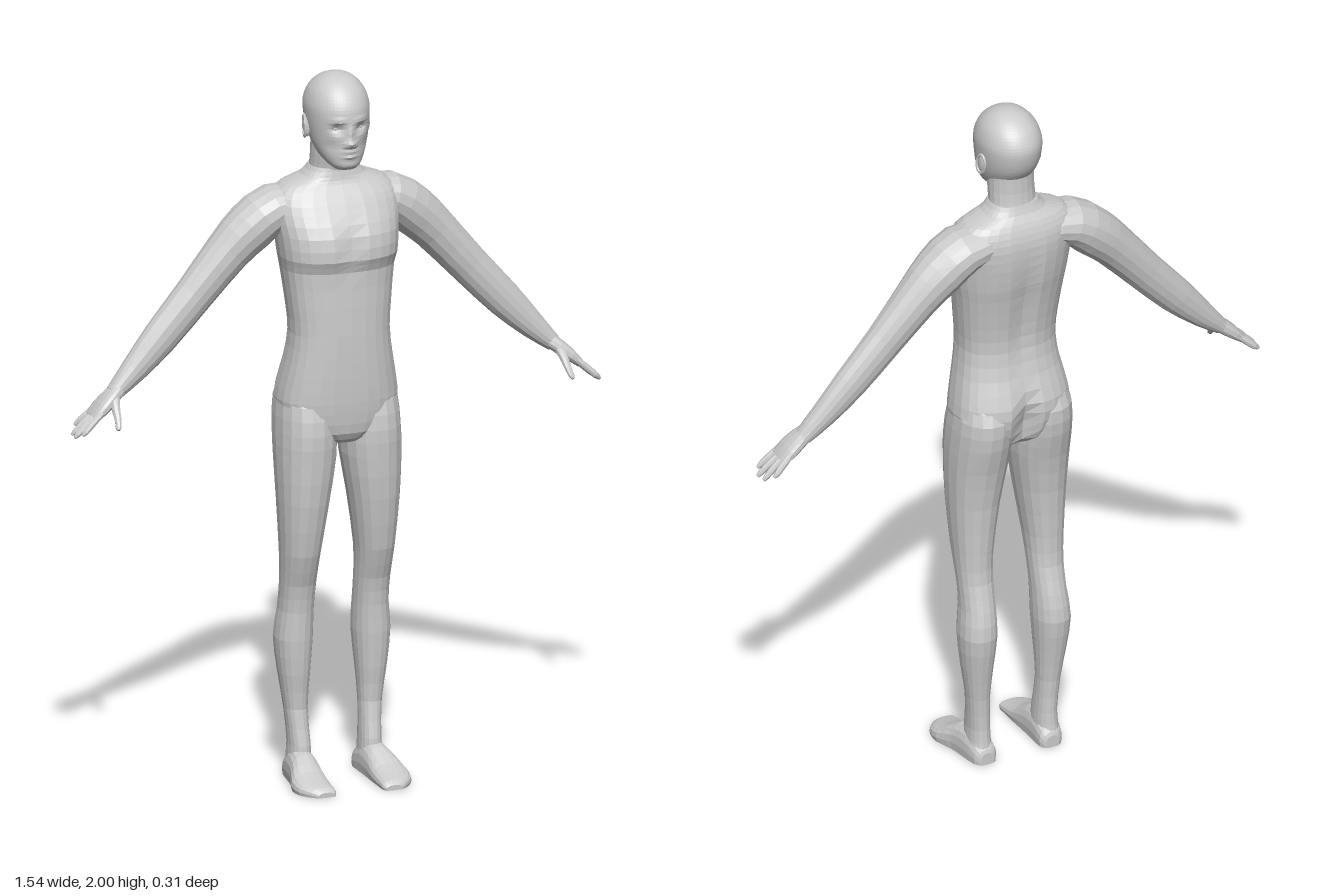
import * as THREE from 'three';

const V = (x, y, z) => new THREE.Vector3(x, y, z);
const material = new THREE.MeshStandardMaterial({ color: 0xcccccc, flatShading: true });

// Insert k Catmull-Rom steps between the rows of a section list
function refine(rows, k) {
  const out = [];
  for (let i = 0; i < rows.length - 1; i++) {
    const a = rows[Math.max(i - 1, 0)], b = rows[i], c = rows[i + 1], d = rows[Math.min(i + 2, rows.length - 1)];
    for (let s = 0; s < k; s++) {
      const t = s / k;
      out.push(b.map((q, j) => q + 0.5 * t * (c[j] - a[j] +
        t * (2 * a[j] - 5 * q + 4 * c[j] - d[j] + t * (3 * (q - c[j]) + d[j] - a[j])))));
    }
  }
  out.push(rows[rows.length - 1]);
  return out;
}

// Superelliptic ring around c, spanned by the half axes u and v
function ring(c, u, v, n, e = 2) {
  const pw = (q) => Math.sign(q) * Math.pow(Math.abs(q), 2 / e);
  return Array.from({ length: n }, (_, i) => {
    const a = (i / n) * Math.PI * 2;
    return c.clone().addScaledVector(u, pw(Math.cos(a))).addScaledVector(v, pw(Math.sin(a)));
  });
}

// Skin over a list of rings, closed at both ends
function skin(rings, rule) {
  const n = rings[0].length, last = rings.length - 1, pts = rings.flat(), idx = [];
  const mid = (r) => r.reduce((s, p) => s.add(p), V(0, 0, 0)).divideScalar(n);
  pts.push(mid(rings[0]), mid(rings[last]));
  for (let j = 0; j < n; j++) {
    const k = (j + 1) % n;
    for (let i = 0; i < last; i++) {
      const a = i * n + j, b = i * n + k;
      idx.push(a, a + n, b, b, a + n, b + n);
    }
    idx.push(pts.length - 2, j, k, pts.length - 1, last * n + k, last * n + j);
  }
  if (rule) pts.forEach(rule);
  const g = new THREE.BufferGeometry().setFromPoints(pts);
  g.setIndex(idx);
  g.computeVertexNormals();
  return g;
}

// Upright form, rows from the bottom: [y, centreX, halfWidth, zFront, zBack]
const upright = (rows, k, n, e, rule) => skin(refine(rows, k).map(([y, x, w, f, b]) =>
  ring(V(x, y, (f + b) / 2), V(w, 0, 0), V(0, 0, (f - b) / 2), n, e)), rule);

// Limb along a path, rows: [x, y, z, thickness radius, z radius]
function limb(rows, k, n, e) {
  const s = refine(rows, k);
  return skin(s.map(([x, y, z, r, rz], i) => {
    const p = s[Math.max(i - 1, 0)], q = s[Math.min(i + 1, s.length - 1)];
    const t = V(q[0] - p[0], q[1] - p[1], q[2] - p[2]).normalize();
    const u = V(t.y, -t.x, 0).normalize();
    const v = u.clone().cross(t);
    return ring(V(x, y, z), u.multiplyScalar(r), v.multiplyScalar(rz), n, e);
  }));
}

// Bump of height h around (cx, y0)
const bump = (x, y, cx, y0, sx, sy, h) => h * Math.exp(-(((x - cx) / sx) ** 2) - ((y - y0) / sy) ** 2);

export function createModel() {
  const model = new THREE.Group();
  model.name = 'humanFigure';
  const add = (name, geometry) => {
    const m = new THREE.Mesh(geometry, material);
    m.name = name;
    model.add(m);
  };
  // Adds a left part and its mirrored right twin
  const pair = (name, geometry) => {
    add('left' + name, geometry);
    const g = geometry.clone().scale(-1, 1, 1), ix = g.index.array;
    for (let i = 0; i < ix.length; i += 3) [ix[i], ix[i + 1]] = [ix[i + 1], ix[i]];
    g.computeVertexNormals();
    add('right' + name, g);
  };

  // Torso with breastbone, spine groove and seat cleft
  add('torso', upright([
    [0.97, 0, 0.05, 0.055, -0.08], [1.0, 0, 0.13, 0.075, -0.125], [1.06, 0, 0.168, 0.084, -0.148],
    [1.12, 0, 0.166, 0.088, -0.15], [1.2, 0, 0.15, 0.09, -0.125], [1.28, 0, 0.14, 0.09, -0.112],
    [1.36, 0, 0.146, 0.088, -0.118], [1.46, 0, 0.158, 0.086, -0.136], [1.495, 0, 0.165, 0.1, -0.144],
    [1.56, 0, 0.172, 0.092, -0.153], [1.62, 0, 0.18, 0.06, -0.155], [1.66, 0, 0.175, 0.035, -0.148],
    [1.69, 0, 0.145, 0.012, -0.135], [1.71, 0, 0.09, 0.005, -0.122], [1.735, 0, 0.068, 0, -0.112],
  ], 2, 28, 2.5, (p) => {
    if (p.z > 0) p.z += bump(p.x, p.y, 0, 1.53, 0.015, 0.06, -0.008);
    else p.z += bump(p.x, p.y, 0, 1.06, 0.022, 0.07, 0.03) + bump(p.x, p.y, 0, 1.4, 0.025, 0.2, 0.01);
  }));

  add('neck', upright([
    [1.66, 0, 0.075, 0.0, -0.12], [1.72, 0, 0.067, 0.0, -0.112], [1.77, 0, 0.065, 0.012, -0.106],
    [1.83, 0, 0.064, 0.02, -0.106],
  ], 2, 20, 2.1));

  // Head with the face raised and sunk by rule
  add('head', upright([
    [1.748, 0, 0.03, 0.066, 0.01], [1.76, 0, 0.045, 0.077, -0.03], [1.78, 0, 0.06, 0.079, -0.07],
    [1.81, 0, 0.073, 0.08, -0.1], [1.845, 0, 0.081, 0.081, -0.125], [1.885, 0, 0.086, 0.082, -0.138],
    [1.92, 0, 0.086, 0.078, -0.139], [1.955, 0, 0.075, 0.06, -0.122], [1.98, 0, 0.055, 0.034, -0.095],
    [1.994, 0, 0.033, 0.006, -0.066], [2.0, 0, 0.01, -0.02, -0.04],
  ], 4, 64, 2.1, (p) => {
    if (p.z < 0) return;
    const x = Math.abs(p.x), y = p.y;
    p.z += bump(x, y, 0.034, 1.866, 0.016, 0.012, -0.013)
      + bump(x, y, 0.032, 1.889, 0.024, 0.008, 0.004)
      + bump(x, y, 0, 1.85, 0.009, 0.022, 0.009)
      + bump(x, y, 0, 1.825, 0.012, 0.011, 0.018)
      + bump(x, y, 0.013, 1.821, 0.007, 0.008, 0.006)
      + bump(x, y, 0, 1.799, 0.022, 0.005, 0.007)
      + bump(x, y, 0, 1.786, 0.02, 0.005, 0.006)
      + bump(x, y, 0.05, 1.815, 0.02, 0.02, -0.005);
  }));
  pair('Eye', new THREE.SphereGeometry(0.012, 14, 10).translate(0.034, 1.866, 0.052));

  // Ears: a flat shell and a raised rim
  pair('EarShell', new THREE.SphereGeometry(1, 14, 10).scale(0.009, 0.03, 0.018)
    .rotateX(-0.2).translate(0.083, 1.853, -0.038));
  pair('EarRim', new THREE.TorusGeometry(0.019, 0.004, 6, 20).rotateY(Math.PI / 2)
    .scale(1, 1.5, 0.9).rotateX(-0.2).rotateY(0.2).translate(0.088, 1.853, -0.04));

  // Arms and hands
  pair('Arm', limb([
    [0.07, 1.635, -0.067, 0.045, 0.07], [0.165, 1.622, -0.07, 0.064, 0.08], [0.235, 1.572, -0.072, 0.069, 0.073],
    [0.3, 1.51, -0.072, 0.062, 0.06], [0.4, 1.398, -0.068, 0.055, 0.046], [0.5, 1.29, -0.062, 0.05, 0.039],
    [0.58, 1.208, -0.055, 0.037, 0.032], [0.64, 1.152, -0.048, 0.023, 0.027],
  ], 2, 16, 2.1));
  pair('Palm', limb([
    [0.625, 1.165, -0.048, 0.02, 0.025], [0.65, 1.145, -0.042, 0.02, 0.033],
    [0.68, 1.12, -0.038, 0.018, 0.039], [0.707, 1.095, -0.036, 0.012, 0.038],
  ], 2, 14, 2.6));
  [[-0.066, -0.076, 0.744, 1.064], [-0.046, -0.048, 0.762, 1.046], [-0.026, -0.02, 0.765, 1.045],
    [-0.006, 0.004, 0.752, 1.056]].forEach(([z0, z1, x, y], i) => pair('Finger' + (i + 1), limb([
    [0.69, 1.111, z0, 0.009, 0.009], [(0.69 + x) / 2, (1.113 + y) / 2, (z0 + z1) / 2, 0.01, 0.0095],
    [x - 0.01, y + 0.009, z1, 0.0085, 0.008], [x, y, z1, 0.004, 0.004],
  ], 2, 8)));
  pair('Thumb', limb([
    [0.645, 1.147, -0.03, 0.014, 0.016], [0.652, 1.126, -0.004, 0.013, 0.013],
    [0.655, 1.1, 0.022, 0.01, 0.01], [0.66, 1.08, 0.04, 0.008, 0.008], [0.662, 1.074, 0.045, 0.004, 0.004],
  ], 2, 8));

  // Legs
  pair('Leg', upright([
    [0.04, 0.104, 0.034, 0.005, -0.098], [0.1, 0.103, 0.03, 0.0, -0.092], [0.2, 0.108, 0.032, -0.018, -0.096],
    [0.3, 0.112, 0.043, -0.008, -0.112], [0.4, 0.113, 0.052, 0, -0.127], [0.48, 0.109, 0.048, 0.003, -0.115],
    [0.56, 0.108, 0.049, 0.015, -0.095], [0.65, 0.108, 0.054, 0.045, -0.093], [0.8, 0.102, 0.07, 0.07, -0.102],
    [0.92, 0.095, 0.082, 0.08, -0.122], [1.0, 0.093, 0.083, 0.083, -0.142], [1.08, 0.09, 0.08, 0.07, -0.148],
    [1.14, 0.086, 0.065, 0.04, -0.12],
  ], 2, 18, 2.2));

  // Feet, flattened on the ground: [z, centreX, halfWidth, height]
  pair('Foot', skin(refine([
    [-0.102, 0.1, 0.02, 0.035], [-0.088, 0.101, 0.034, 0.06], [-0.04, 0.105, 0.039, 0.09],
    [0.015, 0.109, 0.043, 0.082], [0.07, 0.117, 0.052, 0.05], [0.115, 0.115, 0.049, 0.034],
    [0.145, 0.104, 0.037, 0.025], [0.158, 0.099, 0.024, 0.014],
  ], 2).map(([z, x, w, h]) => ring(V(x, 0.3 * h, z), V(w, 0, 0), V(0, -0.7 * h, 0), 18, 2.3)),
  (p) => { p.y = Math.max(p.y, 0); }));

  return model;
}
